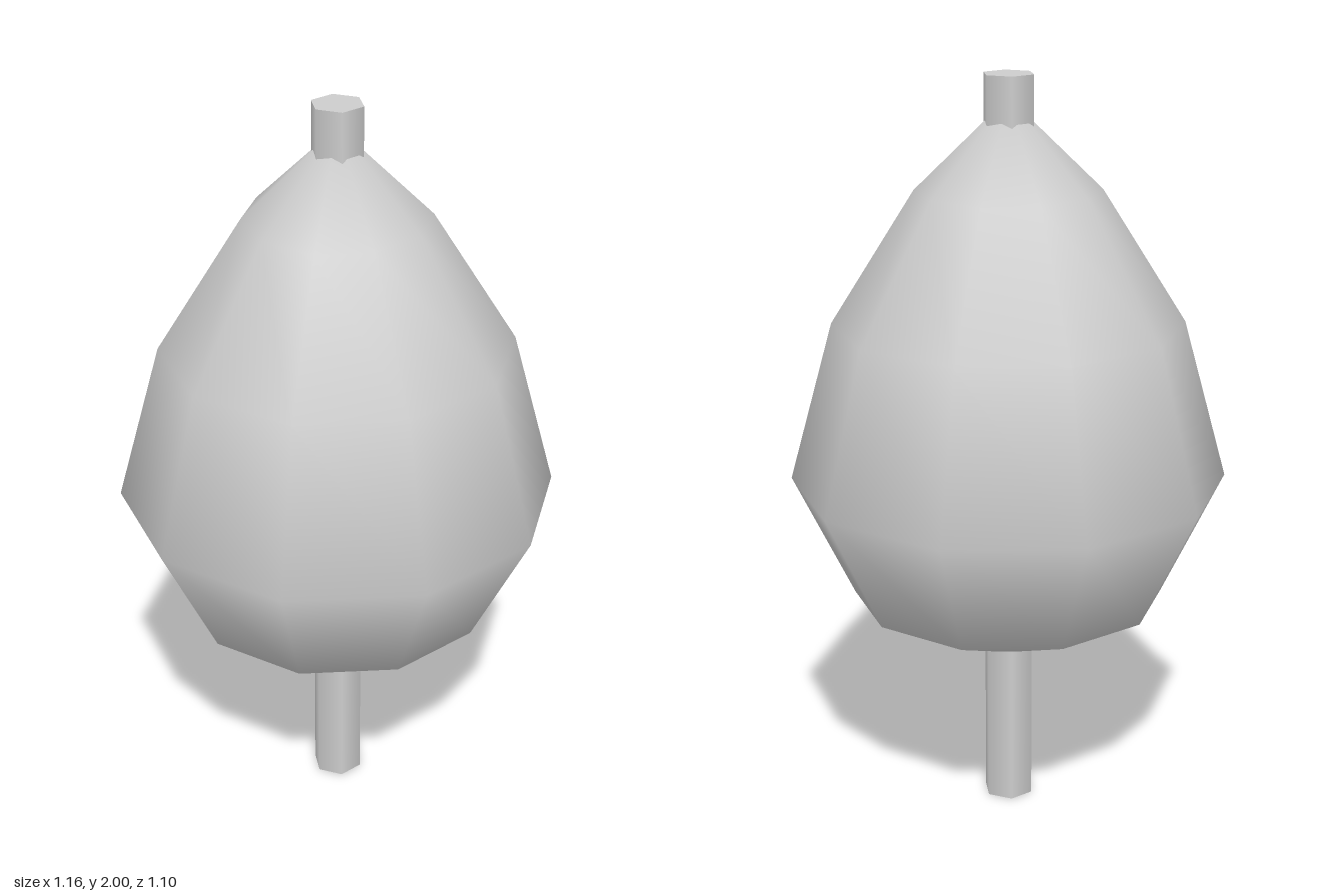
import * as THREE from 'three';

// Profile of the crown, bottom to top: [radius, height]
const PROFILE = [[0, 0.416], [0.417, 0.6], [0.58, 0.93], [0.463, 1.355], [0.243, 1.705], [0, 1.94]];
const SIDES = 10;

// Smooth ten-sided crown whose two tips are rounded off by vertical normals
function crownGeometry() {
  const points = PROFILE.map(([r, y]) => new THREE.Vector2(r, y));
  const geometry = new THREE.LatheGeometry(points, SIDES, Math.PI / 2);
  const normals = geometry.attributes.normal;
  const last = PROFILE.length - 1;
  for (let side = 0; side <= SIDES; side++) {
    const start = side * PROFILE.length;
    normals.setXYZ(start, 0, -1, 0);
    normals.setXYZ(start + last, 0, 1, 0);
  }
  return geometry;
}

export function createModel() {
  const group = new THREE.Group();
  const grey = new THREE.MeshStandardMaterial({ color: 0xcccccc });
  grey.name = 'lightGrey';

  const add = (name, geometry) => {
    const mesh = new THREE.Mesh(geometry, grey);
    mesh.name = name;
    group.add(mesh);
  };

  // Hexagonal trunk running right through the crown
  const trunk = new THREE.CylinderGeometry(0.069, 0.069, 2, 6, 1, false, Math.PI / 2);
  trunk.translate(0, 1, 0);
  add('trunk', trunk);

  add('crown', crownGeometry());

  return group;
}
